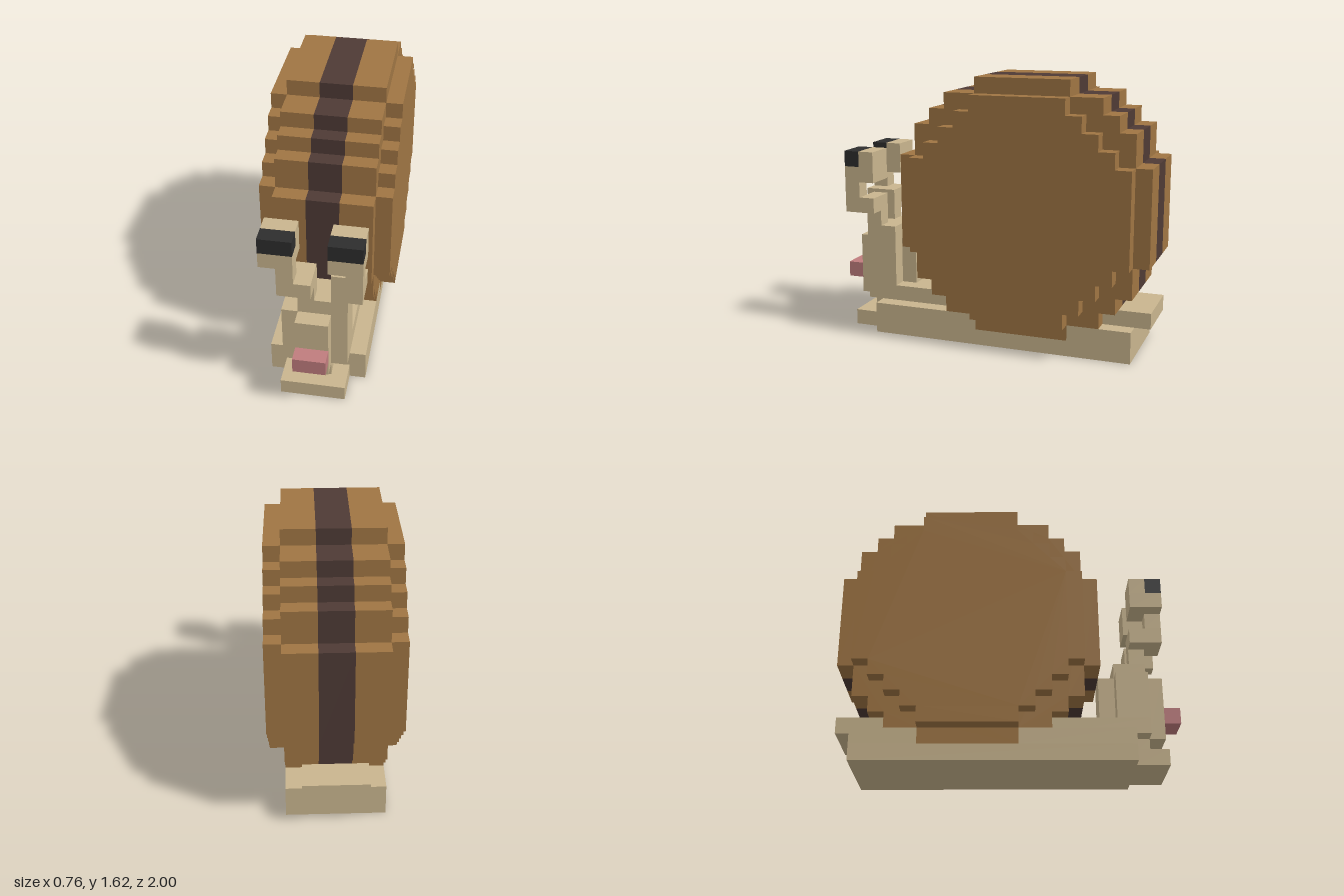
import * as THREE from 'three';

const U = 2 / 21; // one block

const mat = (name, color) => {
  const m = new THREE.MeshStandardMaterial({ color });
  m.name = name;
  return m;
};

export function createModel() {
  const skin = mat('skin beige', 0xc9b58e);
  const brown = mat('shell brown', 0x9f7543);
  const stripe = mat('stripe dark brown', 0x4e3a35);
  const black = mat('eye black', 0x2d2d2d);
  const pink = mat('mouth pink', 0xbf7c7d);

  const model = new THREE.Group();
  model.name = 'snail';

  const group = (name) => {
    const g = new THREE.Group();
    g.name = name;
    model.add(g);
    return g;
  };

  // Box given by its ranges in block units
  const box = (parent, name, material, [x0, x1], [y0, y1], [z0, z1]) => {
    const geo = new THREE.BoxGeometry((x1 - x0) * U, (y1 - y0) * U, (z1 - z0) * U);
    geo.translate((x0 + x1) / 2 * U, (y0 + y1) / 2 * U, (z0 + z1) / 2 * U);
    const mesh = new THREE.Mesh(geo, material);
    mesh.name = name;
    parent.add(mesh);
  };

  // Stepped disc: rows of [height above centre, half width], top half mirrored down
  const disc = (parent, name, material, rows, x0, x1) => {
    const cz = -2.5, cy = 9;
    const quarter = [];
    let low = 0;
    for (const [top, half] of rows) {
      if (low > 0) quarter.push([half, low]);
      quarter.push([half, top]);
      low = top;
    }
    const back = [...quarter].reverse();
    const outline = [
      ...quarter,
      ...back.map(([z, y]) => [-z, y]),
      ...quarter.map(([z, y]) => [-z, -y]),
      ...back.map(([z, y]) => [z, -y]),
    ];
    const shape = new THREE.Shape(outline.map(([z, y]) => new THREE.Vector2((cz + z) * U, (cy + y) * U)));
    const geo = new THREE.ExtrudeGeometry(shape, { depth: (x1 - x0) * U, bevelEnabled: false });
    geo.rotateY(-Math.PI / 2);
    geo.translate(x1 * U, 0, 0);
    const mesh = new THREE.Mesh(geo, material);
    mesh.name = name;
    parent.add(mesh);
  };

  // Shell: wide stepped wheel with a middle stripe and a smaller disc on each side
  const shell = group('shell');
  const rim = [[3, 8], [5, 7], [6, 6], [7, 5], [8, 3]];
  const side = [[3, 7], [4, 6], [5, 5], [6, 4], [7, 3]];
  disc(shell, 'shellStripe', stripe, rim, -1, 1);
  disc(shell, 'shellRimLeft', brown, rim, 1, 3);
  disc(shell, 'shellRimRight', brown, rim, -3, -1);
  disc(shell, 'shellSideLeft', brown, side, 3, 4);
  disc(shell, 'shellSideRight', brown, side, -4, -3);

  // Foot, with a gap where the shell sinks in
  const body = group('body');
  box(body, 'foot', skin, [-3, 3], [0, 1], [-9.5, 7.5]);
  box(body, 'footFront', skin, [-3, 3], [1, 2], [0.5, 7.5]);
  box(body, 'footBack', skin, [-3, 3], [1, 2], [-9.5, -5.5]);
  box(body, 'footTip', skin, [-2, 2], [0, 1], [7.5, 9.5]);
  box(body, 'chin', skin, [-1, 1], [1, 2], [7.5, 8.5]);
  box(body, 'tail', skin, [-2, 2], [2, 3], [-10.5, -7.5]);

  // Neck and head
  const head = group('head');
  box(head, 'neckBase', skin, [-2, 2], [2, 3], [2.5, 8.5]);
  box(head, 'neck', skin, [-2, 2], [3, 6], [6.5, 8.5]);
  box(head, 'nape', skin, [-1, 1], [3, 6], [5.5, 6.5]);
  box(head, 'crown', skin, [-1, 2], [6, 7], [6.5, 8.5]);
  box(head, 'face', skin, [-1, 1], [2, 6], [8.5, 9.5]);
  box(head, 'mouth', pink, [-1, 1], [3, 4], [9.5, 10.5]);

  // Eye stalks, bent differently on each side
  const stalks = group('eyeStalks');
  box(stalks, 'leftStalkLower', skin, [1, 2], [7, 9], [7.5, 8.5]);
  box(stalks, 'leftStalkBend', skin, [2, 3], [8, 9], [7.5, 9.5]);
  box(stalks, 'leftStalkUpper', skin, [2, 3], [9, 10], [8.5, 9.5]);
  box(stalks, 'rightStalkLower', skin, [-1, 0], [7, 8], [7.5, 8.5]);
  box(stalks, 'rightStalkBend', skin, [-2, 0], [8, 9], [7.5, 9.5]);
  box(stalks, 'rightStalkUpper', skin, [-2, -1], [9, 10], [8.5, 9.5]);

  // Eyes
  for (const [name, x] of [['left', [1, 3]], ['right', [-3, -1]]]) {
    box(stalks, name + 'EyeBase', skin, x, [10, 11], [7.5, 9.5]);
    box(stalks, name + 'EyeBack', skin, x, [11, 12], [7.5, 8.5]);
    box(stalks, name + 'Eye', black, x, [11, 12], [8.5, 9.5]);
  }

  return model;
}
